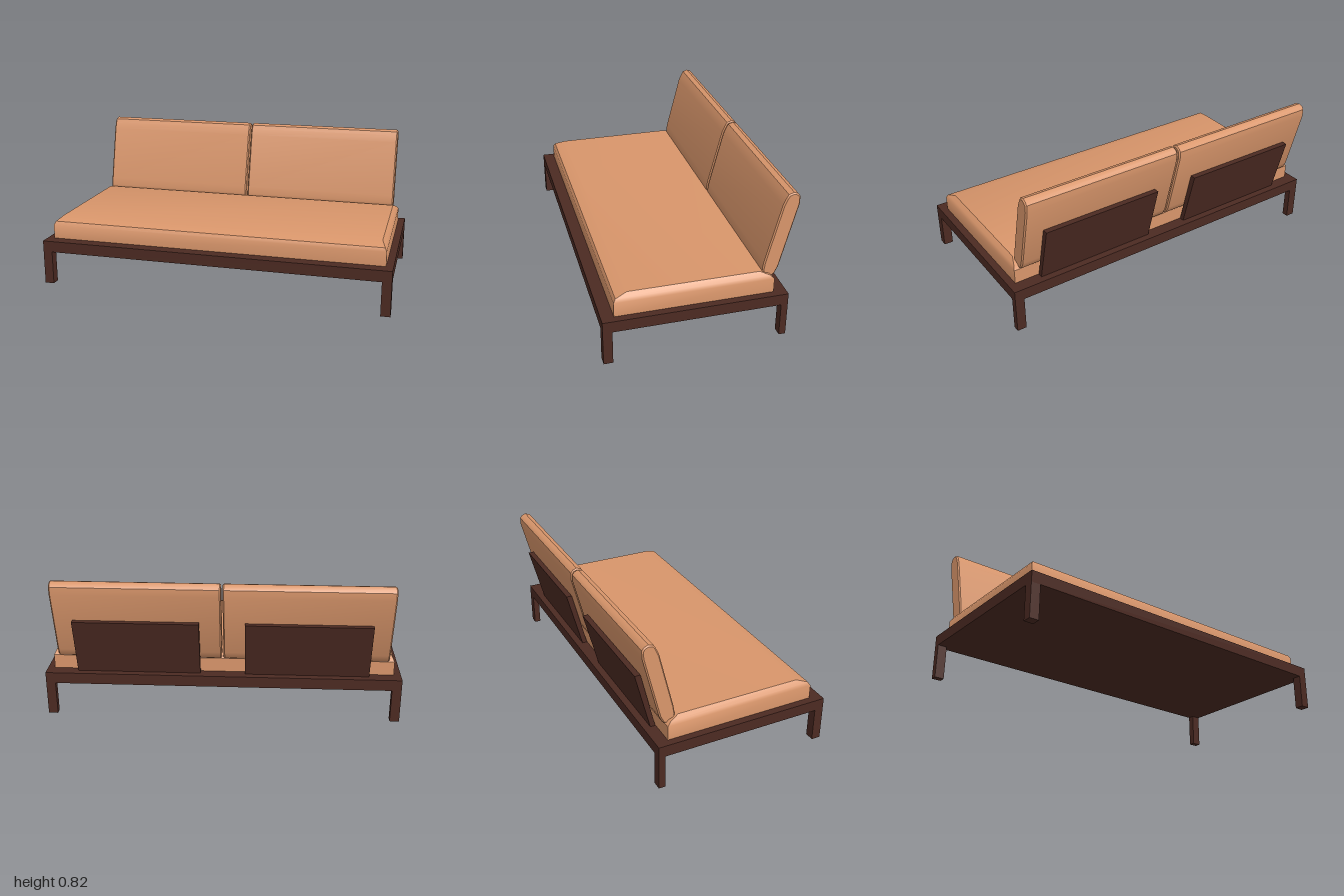
import * as THREE from 'three';
import { toCreasedNormals } from 'three/addons/utils/BufferGeometryUtils.js';

const wood = new THREE.MeshStandardMaterial({ color: 0x4c2a22 });
const fabric = new THREE.MeshStandardMaterial({ color: 0xd9966b });

function add(group, name, geometry, material) {
  const mesh = new THREE.Mesh(geometry, material);
  mesh.name = name;
  group.add(mesh);
  return mesh;
}

// Box given by its minimum and maximum corners
function block(x0, x1, y0, y1, z0, z1) {
  return new THREE.BoxGeometry(x1 - x0, y1 - y0, z1 - z0)
    .translate((x0 + x1) / 2, (y0 + y1) / 2, (z0 + z1) / 2);
}

// Side profile of [z, y] points, extruded along x from x0 to x1
function extrudeAcross(profile, x0, x1, bevel = 0) {
  const shape = new THREE.Shape(profile.map(([z, y]) => new THREE.Vector2(z, y)));
  const geometry = new THREE.ExtrudeGeometry(shape, {
    depth: x1 - x0 - 2 * bevel,
    bevelEnabled: bevel > 0,
    bevelSize: bevel,
    bevelThickness: bevel,
    bevelOffset: -bevel,
    bevelSegments: 1,
  });
  return geometry.rotateY(-Math.PI / 2).translate(x1 - bevel, 0, 0);
}

// Rectangular rings [y, half width, z back, z front] stacked and capped
function loftRings(rings) {
  const positions = [];
  const index = [];
  for (const [y, w, back, front] of rings) {
    positions.push(-w, y, front, w, y, front, w, y, back, -w, y, back);
  }
  for (let r = 0; r < rings.length - 1; r++) {
    for (let i = 0; i < 4; i++) {
      const a = r * 4 + i;
      const b = r * 4 + (i + 1) % 4;
      index.push(a, b, b + 4, a, b + 4, a + 4);
    }
  }
  const t = (rings.length - 1) * 4;
  index.push(t, t + 1, t + 2, t, t + 2, t + 3, 0, 2, 1, 0, 3, 2);
  const geometry = new THREE.BufferGeometry();
  geometry.setAttribute('position', new THREE.Float32BufferAttribute(positions, 3));
  geometry.setIndex(index);
  return geometry;
}

export function createModel() {
  const sofa = new THREE.Group();
  sofa.name = 'sofa';

  // Platform and legs
  add(sofa, 'platform', block(-1, 1, 0.193, 0.257, -0.469, 0.527), wood);
  for (const [x, side] of [[-1, 'Right'], [0.947, 'Left']]) {
    add(sofa, `front${side}Leg`, block(x, x + 0.053, 0, 0.193, 0.476, 0.527), wood);
    add(sofa, `back${side}Leg`, block(x, x + 0.053, 0, 0.193, -0.469, -0.432), wood);
  }

  // Seat cushion with softened upper edges
  const seat = loftRings([
    [0.257, 0.96, -0.4, 0.459],
    [0.338, 0.96, -0.4, 0.459],
    [0.357, 0.95, -0.38, 0.447],
    [0.377, 0.93, -0.327, 0.383],
  ]);
  add(sofa, 'seatCushion', toCreasedNormals(seat, 0.6), fabric);

  // Leaning back cushions and the boards behind them
  const cushionProfile = [
    [-0.412, 0.348], [-0.397, 0.337], [-0.375, 0.335], [-0.352, 0.345],
    [-0.344, 0.37], [-0.344, 0.388], [-0.35, 0.427], [-0.431, 0.75],
    [-0.447, 0.787], [-0.459, 0.808], [-0.487, 0.817], [-0.51, 0.808],
    [-0.522, 0.792], [-0.522, 0.75], [-0.431, 0.388],
  ].reverse();
  const boardProfile = [[-0.43, 0.257], [-0.402, 0.257], [-0.483, 0.588], [-0.515, 0.588]];
  for (const [s, side] of [[-1, 'right'], [1, 'left']]) {
    const span = (a, b) => (s > 0 ? [a, b] : [-b, -a]);
    const cushion = extrudeAcross(cushionProfile, ...span(0.005, 0.929), 0.007);
    add(sofa, `${side}BackCushion`, toCreasedNormals(cushion, 0.6), fabric);
    add(sofa, `${side}BackBoard`, extrudeAcross(boardProfile, ...span(0.125, 0.82)), wood);
  }
  return sofa;
}
